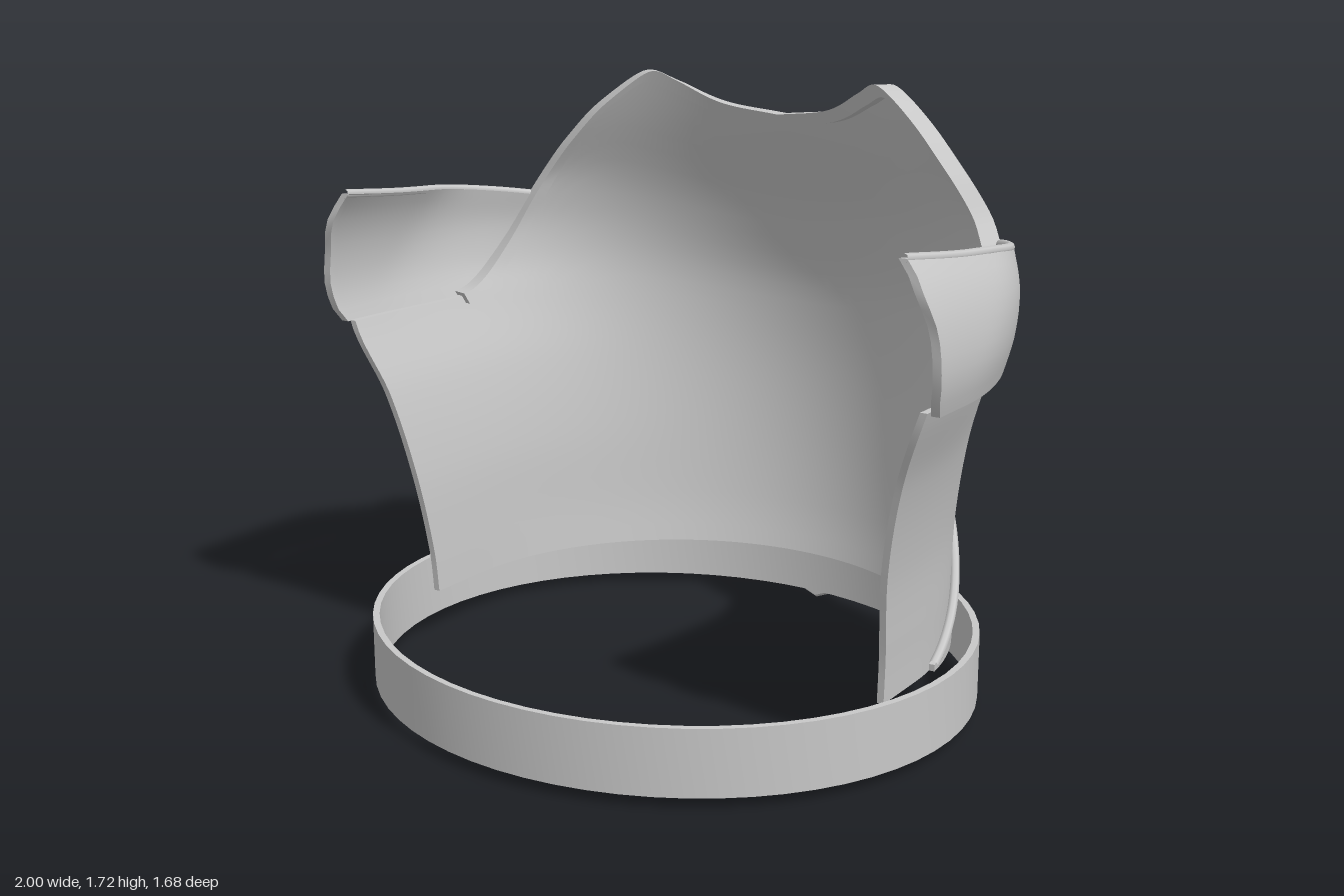
import * as THREE from 'three';
import { toCreasedNormals } from 'three/addons/utils/BufferGeometryUtils.js';

const HALF = Math.PI / 2;

// Smooth interpolation through rows [key, a, b, ...]
function sample(rows, t) {
  const n = rows.length;
  let i = 0;
  while (i < n - 2 && t > rows[i + 1][0]) i++;
  const p = rows[i], q = rows[i + 1], h = q[0] - p[0];
  const s = THREE.MathUtils.clamp((t - p[0]) / h, 0, 1);
  const slope = (k, c) => {
    const a = rows[Math.max(k - 1, 0)], b = rows[Math.min(k + 1, n - 1)];
    return (b[c] - a[c]) / (b[0] - a[0]);
  };
  return p.slice(1).map((_, k) => {
    const c = k + 1;
    return (2 * s ** 3 - 3 * s * s + 1) * p[c] + (s ** 3 - 2 * s * s + s) * h * slope(i, c)
      + (3 * s * s - 2 * s ** 3) * q[c] + (s ** 3 - s * s) * h * slope(i + 1, c);
  });
}

// Torso sections: height, half width, z of the section centre, depth of the back
const torso = [
  [0.15, 0.775, 0, 0.76], [0.3, 0.783, 0.02, 0.79], [0.55, 0.805, 0.08, 0.815],
  [0.8, 0.86, 0.14, 0.82], [1.02, 0.945, 0.2, 0.80], [1.12, 0.965, 0.15, 0.775],
  [1.23, 0.955, 0.06, 0.735], [1.32, 0.925, 0, 0.70], [1.4, 0.875, -0.08, 0.66],
  [1.57, 0.71, -0.2, 0.58], [1.7, 0.57, -0.3, 0.525], [1.76, 0.51, -0.33, 0.50],
];

// Point on the torso: angle from the back centre, height, distance outward
function onTorso(phi, y, d) {
  const [rx, c, back] = sample(torso, y);
  const a = Math.abs(phi), side = Math.sign(phi);
  if (a > HALF) return new THREE.Vector3(side * (rx + d), y, c + (a - HALF) * 0.9);
  return new THREE.Vector3((rx + d) * Math.sin(phi), y, c - (back + c + d) * Math.cos(a));
}

// Closed curved plate; at(u, v, s) has u in -1..1, v in 0..1, s = 1 outside and 0 inside
function plate(at, nu, nv) {
  const pos = [], idx = [], m = 2 * (nv + 1);
  for (let i = 0; i <= nu; i++) {
    const u = -1 + (2 * i) / nu;
    for (let j = 0; j < m; j++) {
      const outer = j <= nv;
      pos.push(...at(u, (outer ? j : m - 1 - j) / nv, outer ? 1 : 0).toArray());
    }
  }
  for (let i = 0; i < nu; i++) for (let j = 0; j < m; j++) {
    const k = (j + 1) % m;
    const a = i * m + j, b = a + m, d = i * m + k, c = d + m;
    idx.push(a, d, c, a, c, b);
  }
  const e = nu * m;
  for (let j = 0; j < nv; j++) {
    const k = m - 1 - j;
    idx.push(j, k - 1, j + 1, j, k, k - 1);
    idx.push(e + j, e + j + 1, e + k - 1, e + j, e + k - 1, e + k);
  }
  const g = new THREE.BufferGeometry();
  g.setAttribute('position', new THREE.Float32BufferAttribute(pos, 3));
  g.setIndex(idx);
  return toCreasedNormals(g, 0.6);
}

// Round bead through points given by a function of u in -1..1
function bead(at, n, radius) {
  const pts = Array.from({ length: n + 1 }, (_, i) => at(-1 + (2 * i) / n));
  return new THREE.TubeGeometry(new THREE.CatmullRomCurve3(pts), n * 2, radius, 8);
}

// Mirrored [angle, height] on a curve
function curveAt(rows, u) {
  const [phi, y] = sample(rows, Math.abs(u));
  return [Math.sign(u) * phi, y];
}

// Neckline and armholes
const neckEdge = [
  [0, 0, 1.59], [0.1, 0.3, 1.615], [0.2, 0.6, 1.675], [0.3, 0.86, 1.705], [0.4, 1.0, 1.62],
  [0.5, 1.03, 1.5], [0.6, 1.03, 1.33], [0.68, 1.1, 1.15], [0.76, 1.2, 1.045],
  [0.84, 1.33, 1.02], [1, 1.715, 1.02],
];
// Lower and upper edges of the shoulder band, which widens into the side wings
const bandLow = [
  [0, 0, 1.2], [0.25, 0.5, 1.225], [0.5, 1.0, 1.28], [0.6, 1.09, 1.16],
  [0.7, 1.2, 1.035], [0.8, 1.33, 1.015], [1, 1.715, 1.015],
];
const bandHigh = [
  [0, 0, 1.23], [0.25, 0.5, 1.255], [0.5, 1.0, 1.315], [0.6, 1.2, 1.335],
  [0.7, 1.45, 1.355], [0.8, 1.76, 1.375], [1, 2.09, 1.405],
];
// Upper edge of the pointed lower back plate: angle, height
const pointedEdge = [
  [0, 1.02], [0.2, 0.92], [0.385, 0.78], [0.61, 0.62], [0.87, 0.46],
  [1.165, 0.3], [1.365, 0.22], [1.46, 0.19],
];

export function createModel() {
  const model = new THREE.Group();
  const steel = new THREE.MeshStandardMaterial({ color: 0xc8c8c8 });
  steel.name = 'steel';
  const add = (name, geometry) => {
    const mesh = new THREE.Mesh(geometry, steel);
    mesh.name = name;
    model.add(mesh);
    return mesh;
  };
  const lerp = THREE.MathUtils.lerp;

  // Main back shell, open at the front
  add('backShell', plate((u, v, s) => {
    const [phi, y] = curveAt(neckEdge, u);
    return onTorso(lerp(u * 1.78, phi, v), lerp(0.17, y, v), s ? 0 : -0.02);
  }, 120, 28));

  // Raised trim along the neckline and armholes
  add('neckTrim', plate((t, v, s) => {
    const u = t * 0.8;
    const [phi, y] = curveAt(neckEdge, u);
    const [p0, y0] = curveAt(neckEdge, u - 0.01), [p1, y1] = curveAt(neckEdge, u + 0.01);
    const tx = (p1 - p0) * 0.7, ty = y1 - y0, w = lerp(-0.022, 0.012, v) / Math.hypot(tx, ty);
    return onTorso(phi - (ty * w) / 0.7, y + tx * w, s ? 0.008 : -0.045);
  }, 120, 1));

  // Band across the back with flared side wings
  const bandOut = (u) => lerp(0.014, 0.035, THREE.MathUtils.smoothstep(Math.abs(u), 0.45, 0.7));
  add('shoulderBand', plate((u, v, s) => {
    const a = curveAt(bandLow, u), b = curveAt(bandHigh, u), out = bandOut(u);
    return onTorso(lerp(a[0], b[0], v), lerp(a[1], b[1], v), s ? out : out - 0.024);
  }, 120, 10));
  add('shoulderBandLip', bead((u) => {
    const [phi, y] = curveAt(bandHigh, u);
    return onTorso(phi, y, bandOut(u) - 0.01);
  }, 60, 0.013));

  // Pointed overlay on the lower back, with its raised border
  add('lowerBackPlate', plate((u, v, s) => {
    const phi = u * 1.46, [top] = sample(pointedEdge, Math.abs(phi));
    return onTorso(phi, lerp(0.17, top, v), s ? 0.016 : -0.005);
  }, 80, 16));
  add('lowerBackBorder', bead((u) => {
    const phi = u * 1.46, [top] = sample(pointedEdge, Math.abs(phi));
    return onTorso(phi, top, 0.012);
  }, 60, 0.014));

  // Waist belt
  const profile = [[1, 0.03], [1, 0.22], [0.978, 0.22], [0.978, 0.03], [1, 0.03]];
  const belt = new THREE.LatheGeometry(profile.map(([r, y]) => new THREE.Vector2(r, y)), 64);
  belt.scale(0.9, 1, 0.82);
  add('belt', toCreasedNormals(belt, 0.6)).position.set(-0.01, 0, 0.02);

  // Eight-sided buckle ring at the back of the belt
  const octagon = (r) => Array.from({ length: 8 }, (_, i) =>
    new THREE.Vector2(r * Math.sin((i * Math.PI) / 4), r * Math.cos((i * Math.PI) / 4)));
  const ring = new THREE.Shape(octagon(0.11));
  ring.holes.push(new THREE.Path(octagon(0.083)));
  const buckle = new THREE.ExtrudeGeometry(ring, {
    depth: 0.02, bevelEnabled: true, bevelThickness: 0.01, bevelSize: 0.008, bevelSegments: 1,
  });
  add('buckle', buckle).position.set(0, 0.118, -0.828);

  return model;
}
